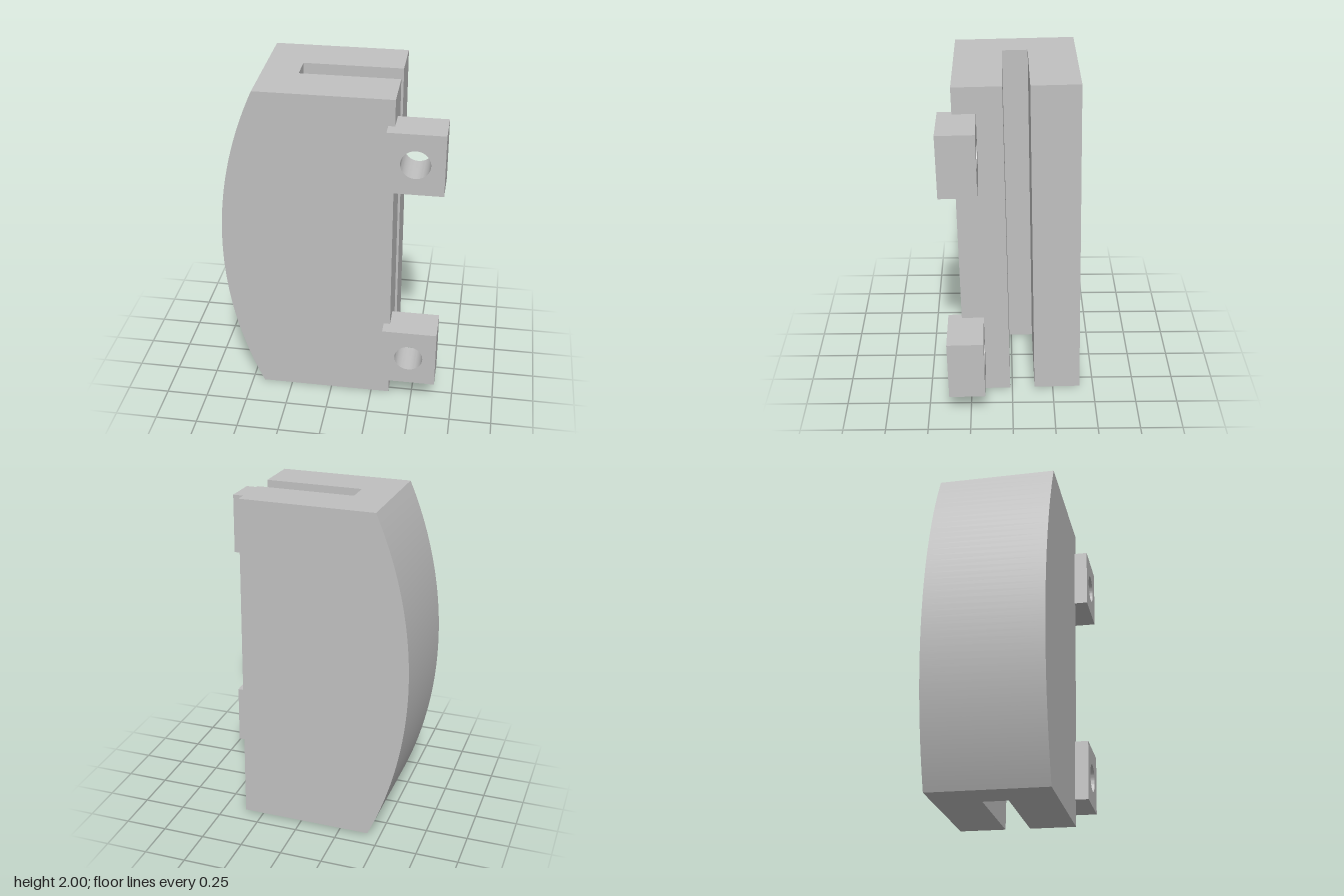
import * as THREE from 'three';
import { toCreasedNormals } from 'three/addons/utils/BufferGeometryUtils.js';

const HEIGHT = 1.985, HALF_DEPTH = 0.353, HALF_SLOT = 0.075;
const RIGHT = 0.358, LEFT = -0.427, SLOT_END = -0.217;
const BULGE = 0.216; // how far the curved side swells at mid height

// U-shaped section run up the height, with its closed side bowed to an arc
function bodyGeometry() {
  const section = new THREE.Shape([
    [LEFT, -HALF_DEPTH], [RIGHT, -HALF_DEPTH], [RIGHT, -HALF_SLOT], [SLOT_END, -HALF_SLOT],
    [SLOT_END, HALF_SLOT], [RIGHT, HALF_SLOT], [RIGHT, HALF_DEPTH], [LEFT, HALF_DEPTH],
  ].map(([x, y]) => new THREE.Vector2(x, y)));
  const geo = new THREE.ExtrudeGeometry(section, { depth: HEIGHT, steps: 48, bevelEnabled: false });
  geo.rotateX(-Math.PI / 2).translate(0, -HEIGHT / 2, 0);

  const half = HEIGHT / 2;
  const radius = (half * half + BULGE * BULGE) / (2 * BULGE);
  const pos = geo.attributes.position;
  for (let i = 0; i < pos.count; i++) {
    if (pos.getX(i) > LEFT + 0.001) continue;
    const y = pos.getY(i);
    pos.setX(i, LEFT - Math.max(0, Math.sqrt(radius * radius - y * y) - radius + BULGE));
  }
  return toCreasedNormals(geo, 0.5);
}

// Square block with a round hole through it from front to back
function lugGeometry() {
  const w = 0.323 / 2, h = 0.366 / 2, depth = 0.213;
  const shape = new THREE.Shape([
    new THREE.Vector2(-w, -h), new THREE.Vector2(w, -h),
    new THREE.Vector2(w, h), new THREE.Vector2(-w, h),
  ]);
  shape.holes.push(new THREE.Path().absarc(0, 0, 0.084, 0, Math.PI * 2, true));
  const geo = new THREE.ExtrudeGeometry(shape, { depth, curveSegments: 32, bevelEnabled: false });
  geo.translate(0, 0, -depth / 2);
  return toCreasedNormals(geo, 0.5);
}

export function createModel() {
  const grey = new THREE.MeshStandardMaterial({ color: 0xc0c0c0 });
  grey.name = 'light grey';

  const model = new THREE.Group();
  model.name = 'slottedBlock';

  // Everything leans slightly forward together
  const leaning = new THREE.Group();
  leaning.name = 'leaningAssembly';
  leaning.position.set(0, 1, -0.041);
  leaning.rotation.x = 0.0211;
  model.add(leaning);

  const body = new THREE.Mesh(bodyGeometry(), grey);
  body.name = 'slottedBody';
  leaning.add(body);

  // Upper and lower mounting lugs on the front edge
  const lugGeo = lugGeometry();
  for (const [name, side] of [['upperLug', 1], ['lowerLug', -1]]) {
    const lug = new THREE.Mesh(lugGeo, grey);
    lug.name = name;
    lug.position.set(0.4815, side * 0.655, 0.328);
    leaning.add(lug);
  }
  return model;
}
